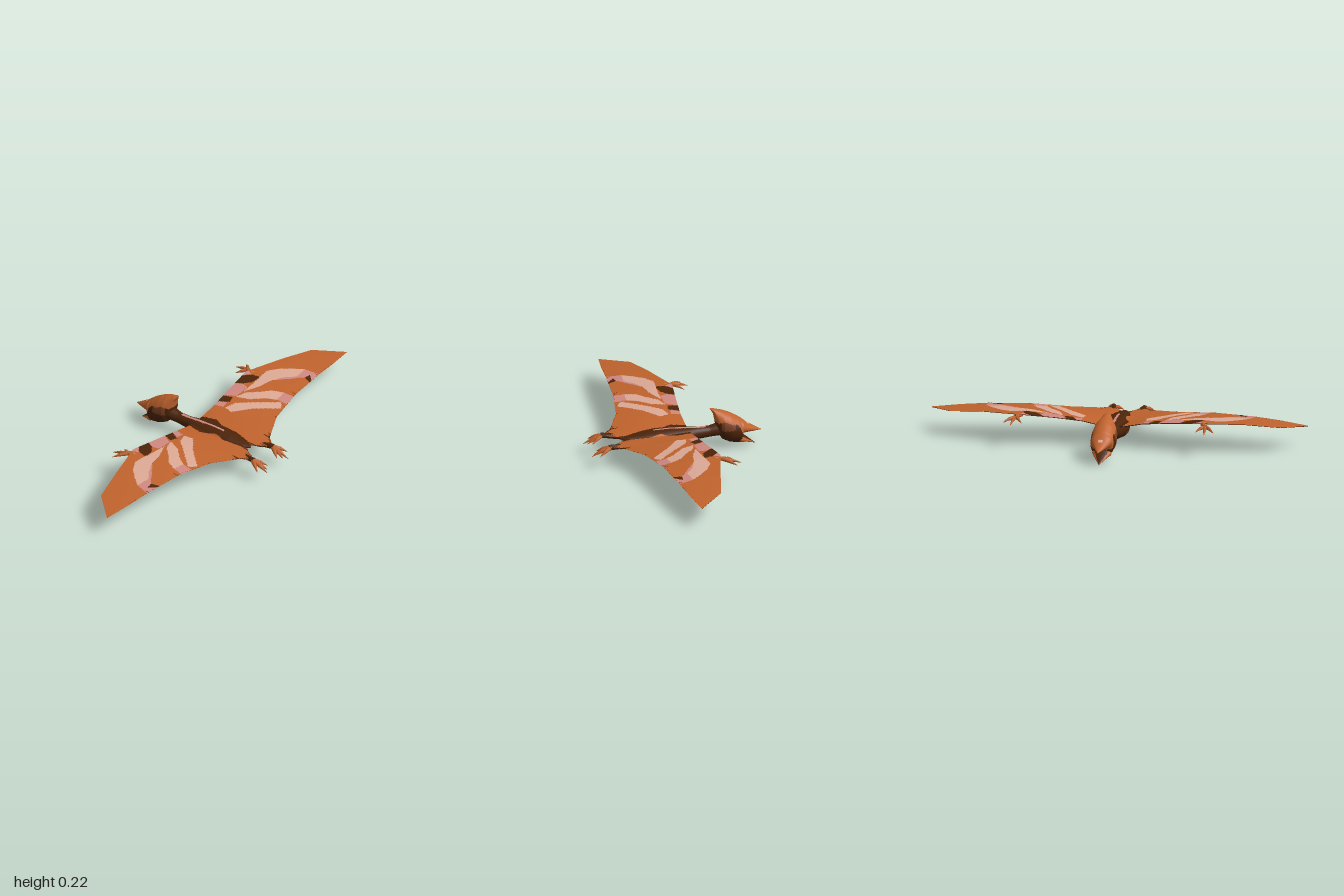
import * as THREE from 'three';

const paintOf = (name, color) => {
  const m = new THREE.MeshStandardMaterial({ color, side: THREE.DoubleSide });
  m.name = name;
  return m;
};
const mats = [
  paintOf('orangeHide', 0xc0632d), paintOf('darkBrown', 0x4c2409), paintOf('midBrown', 0x7a4023),
  paintOf('dustyPink', 0xcf8880), paintOf('paleStripe', 0xdca995),
];
const [ORANGE, DARK, MID, PINK, PALE] = [0, 1, 2, 3, 4];

// Linear look-up in a table whose first column is the key; returns the whole row.
function at(table, t) {
  let i = 1;
  while (i < table.length - 1 && t > table[i][0]) i++;
  const a = table[i - 1], b = table[i];
  const k = Math.min(1, Math.max(0, (t - a[0]) / (b[0] - a[0])));
  return a.map((v, j) => v + (b[j] - v) * k);
}

function inside(poly, x, z) {
  let hit = false;
  for (let i = 0, j = poly.length - 1; i < poly.length; j = i++) {
    const [xi, zi] = poly[i], [xj, zj] = poly[j];
    if ((zi > z) !== (zj > z) && x < ((xj - xi) * (z - zi)) / (zj - zi) + xi) hit = !hit;
  }
  return hit;
}

// Grid surface whose triangles are grouped by the colour index paint(x, y, z) returns.
function surface(name, nu, nv, point, paint, flip = false) {
  const pos = [], faces = mats.map(() => []);
  for (let i = 0; i <= nu; i++) for (let j = 0; j <= nv; j++) pos.push(...point(i / nu, j / nv));
  const tri = (...ids) => {
    const c = [0, 1, 2].map((k) => ids.reduce((s, id) => s + pos[id * 3 + k], 0) / 3);
    faces[paint(...c)].push(...(flip ? ids.reverse() : ids));
  };
  for (let i = 0; i < nu; i++) for (let j = 0; j < nv; j++) {
    const a = i * (nv + 1) + j, b = a + nv + 1;
    tri(a, b, a + 1);
    tri(b, b + 1, a + 1);
  }
  const g = new THREE.BufferGeometry();
  g.setAttribute('position', new THREE.Float32BufferAttribute(pos, 3));
  g.setIndex(faces.flat());
  let start = 0;
  faces.forEach((f, m) => {
    if (f.length) g.addGroup(start, f.length, m);
    start += f.length;
  });
  g.computeVertexNormals();
  const mesh = new THREE.Mesh(g, mats);
  mesh.name = name;
  return mesh;
}

// Closed loft through rows [-z, halfWidth, top, bottom].
function loft(name, rows, paint, nu, nv) {
  const z0 = rows[0][0], z1 = rows[rows.length - 1][0];
  return surface(name, nu, nv, (u, v) => {
    const [z, w, top, bot] = at(rows, z0 + (z1 - z0) * u);
    const a = v * Math.PI * 2;
    return [w * Math.sin(a), (top + bot) / 2 - ((top - bot) / 2) * Math.cos(a), -z];
  }, paint);
}

function segment(name, a, b, ra, rb, mat) {
  const p = new THREE.Vector3(...a), q = new THREE.Vector3(...b), d = q.clone().sub(p);
  const mesh = new THREE.Mesh(new THREE.CylinderGeometry(rb, ra, d.length(), 7), mat);
  mesh.position.copy(p).add(q).multiplyScalar(0.5);
  mesh.quaternion.setFromUnitVectors(new THREE.Vector3(0, 1, 0), d.normalize());
  mesh.name = name;
  return mesh;
}

// Clawed digits spreading from a joint.
function digits(name, root, tips, r) {
  const g = new THREE.Group();
  g.name = name;
  for (const tip of tips) {
    const mid = root.map((v, i) => v + (tip[i] - v) * 0.5);
    mid[1] += 0.004;
    g.add(segment('digit', root, mid, r, r * 0.85, mats[ORANGE]));
    g.add(segment('claw', mid, tip, r * 0.85, 0.001, mats[ORANGE]));
  }
  return g;
}

// Wing outline rows: [x, z, y].
const lead = [[0, -0.08, 0.115], [0.06, -0.08, 0.12], [0.16, -0.08, 0.14], [0.3, -0.097, 0.155],
  [0.47, -0.122, 0.168], [0.7, -0.058, 0.157], [0.88, -0.01, 0.137], [1, 0.125, 0.118]];
const trail = [[0, 0.26, 0.105], [0.03, 0.29, 0.105], [0.06, 0.345, 0.105], [0.09, 0.36, 0.105],
  [0.13, 0.31, 0.11], [0.28, 0.235, 0.128], [0.49, 0.195, 0.145], [0.71, 0.17, 0.142],
  [0.85, 0.155, 0.132], [1, 0.13, 0.118]];
// Half-width of the dark back band by z.
const band = [[-0.1, 0.05], [0, 0.072], [0.08, 0.04], [0.15, 0.05], [0.28, 0.02], [0.36, 0.01]];
// Painted patches on the upper wing, [x, z]; the first hit wins.
const topPatches = [
  [DARK, [[0.64, 0.135], [0.68, 0.14], [0.655, 0.165], [0.625, 0.185]]],
  [PALE, [[0.33, -0.025], [0.44, -0.03], [0.55, -0.045], [0.61, -0.01], [0.66, 0.04], [0.7, 0.09], [0.62, 0.1], [0.56, 0.055], [0.5, 0.03], [0.42, 0.015]]],
  [PINK, [[0.62, 0.1], [0.7, 0.09], [0.72, 0.18], [0.66, 0.185]]],
  [PINK, [[0.5, 0.03], [0.56, 0.055], [0.62, 0.1], [0.66, 0.14], [0.58, 0.09]]],
  [PALE, [[0.27, -0.03], [0.33, -0.01], [0.38, 0.04], [0.43, 0.08], [0.46, 0.14], [0.39, 0.15], [0.36, 0.1], [0.3, 0.04]]],
  [PINK, [[0.46, 0.14], [0.47, 0.21], [0.4, 0.22], [0.39, 0.15]]],
  [PALE, [[0.17, -0.02], [0.23, 0.0], [0.3, 0.08], [0.39, 0.18], [0.35, 0.21], [0.25, 0.1], [0.16, 0.03]]],
  [DARK, [[0.35, -0.13], [0.42, -0.13], [0.47, -0.08], [0.48, -0.03], [0.42, -0.04], [0.38, -0.07]]],
  [PINK, [[0.42, -0.13], [0.48, -0.13], [0.5, -0.09], [0.46, -0.09]]],
  [PINK, [[0.24, -0.1], [0.35, -0.12], [0.38, -0.07], [0.37, -0.03], [0.28, -0.03]]],
  [DARK, [[0.18, -0.1], [0.24, -0.1], [0.26, -0.04], [0.22, -0.03]]],
  [PINK, [[0.15, -0.1], [0.18, -0.1], [0.21, -0.04], [0.17, -0.03]]],
];
const underPatches = [
  [[0.14, -0.1], [0.3, -0.12], [0.47, -0.14], [0.62, -0.09], [0.72, -0.05], [0.7, -0.01], [0.6, 0.0], [0.5, 0.04], [0.4, 0.05], [0.32, 0.0], [0.14, 0.01]],
  [[0.78, -0.04], [0.88, -0.02], [0.94, 0.05], [0.96, 0.09], [0.87, 0.1], [0.78, 0.03]],
  [[0.6, 0.12], [0.7, 0.11], [0.72, 0.15], [0.62, 0.17]],
];

function wing(side) {
  const g = new THREE.Group();
  g.name = side > 0 ? 'leftWing' : 'rightWing';
  const skin = (under) => (u, v) => {
    const [, lz, ly] = at(lead, u), [, tz, ty] = at(trail, u);
    const arch = 0.008 * (1 - u) * Math.sin(Math.PI * v);
    const thick = under ? 0.05 * (1 - 0.7 * u) * Math.sqrt(v) * (1 - v) ** 3 : 0;
    return [side * u, ly + (ty - ly) * v + arch - thick, lz + (tz - lz) * v];
  };
  const topPaint = (x, y, z) => {
    if (Math.abs(x) < at(band, z)[1]) return DARK;
    return (topPatches.find(([, poly]) => inside(poly, Math.abs(x), z)) || [ORANGE])[0];
  };
  const underPaint = (x, y, z) => (underPatches.some((poly) => inside(poly, Math.abs(x), z)) ? MID : DARK);
  g.add(surface('wingTop', 180, 60, skin(false), topPaint, side > 0));
  g.add(surface('wingUnderside', 120, 40, skin(true), underPaint, side < 0));

  // Clawed hand at the wrist
  const m = (x, y, z) => [side * x, y, z];
  g.add(segment('wrist', m(0.48, 0.158, -0.09), m(0.505, 0.156, -0.14), 0.01, 0.013, mats[ORANGE]));
  g.add(digits('hand', m(0.505, 0.156, -0.13),
    [m(0.462, 0.137, -0.185), m(0.515, 0.132, -0.222), m(0.56, 0.137, -0.19)], 0.01));
  return g;
}

function leg(side) {
  const g = new THREE.Group();
  g.name = side > 0 ? 'leftLeg' : 'rightLeg';
  const m = (x, y, z) => [side * x, y, z];
  g.add(segment('thigh', m(0.035, 0.09, 0.17), m(0.07, 0.094, 0.31), 0.017, 0.013, mats[DARK]));
  g.add(segment('shin', m(0.07, 0.096, 0.3), m(0.083, 0.103, 0.375), 0.013, 0.015, mats[DARK]));
  g.add(digits('foot', m(0.083, 0.103, 0.365),
    [m(0.04, 0.074, 0.43), m(0.066, 0.068, 0.45), m(0.086, 0.064, 0.468), m(0.126, 0.074, 0.432)], 0.012));
  return g;
}

export function createModel() {
  const model = new THREE.Group();
  model.name = 'flyingReptile';

  // Body and neck with a pink line along the spine
  model.add(loft('body', [
    [-0.285, 0.004, 0.11, 0.1], [-0.25, 0.026, 0.118, 0.09], [-0.16, 0.05, 0.132, 0.08],
    [-0.1, 0.064, 0.138, 0.054], [-0.03, 0.07, 0.138, 0.027], [0.07, 0.05, 0.131, 0.042],
    [0.12, 0.031, 0.126, 0.06], [0.19, 0.028, 0.125, 0.066], [0.25, 0.04, 0.14, 0.07],
  ], (x, y, z) => {
    if (y > 0.11 && Math.abs(x) < 0.008 && z > -0.17 && z < 0.11) return PINK;
    if (y > 0.1 && z > 0.02 && Math.abs(x) > at(band, z)[1]) return ORANGE;
    return Math.abs(x) > 0.035 && y < 0.07 && z > 0 && z < 0.07 ? MID : DARK;
  }, 90, 64));

  // Head with a swept-back crest, running on into the upper beak
  model.add(loft('headAndUpperBeak', [
    [0.195, 0.003, 0.225, 0.222], [0.215, 0.024, 0.221, 0.188], [0.235, 0.046, 0.215, 0.085],
    [0.26, 0.063, 0.207, 0.047], [0.3, 0.068, 0.19, 0.027], [0.345, 0.064, 0.163, 0.02],
    [0.356, 0.06, 0.155, 0.022], [0.366, 0.056, 0.147, 0.071], [0.39, 0.044, 0.126, 0.073],
    [0.43, 0.024, 0.1, 0.073], [0.472, 0.001, 0.076, 0.073],
  ], (x, y, z) => {
    if (Math.abs(x) < 0.012 && z < -0.39 && z > -0.405 && y > 0.1) return PALE;
    const edge = at([[0.2, 0.16], [0.3, 0.15], [0.345, 0.12], [0.362, 0.075], [0.4, 0.05]], -z)[1];
    if (y > edge + 0.006 * Math.sin(z * 90)) return ORANGE;
    return z < -0.245 && z > -0.32 && y > 0.11 ? MID : DARK;
  }, 120, 56));
  model.add(loft('lowerJaw', [
    [0.335, 0.04, 0.07, 0.03], [0.355, 0.052, 0.072, 0.02], [0.383, 0.038, 0.05, 0.02],
    [0.438, 0.001, 0.004, 0.001],
  ], (x, y, z) => {
    const [, w, top, bot] = at([[0.355, 0.052, 0.072, 0.02], [0.383, 0.038, 0.05, 0.02], [0.438, 0.001, 0.004, 0.001]], -z);
    return Math.abs(x) < w * 0.75 && y > (top + bot) / 2 ? DARK : ORANGE;
  }, 40, 32));

  for (const side of [1, -1]) model.add(wing(side), leg(side));
  return model;
}
